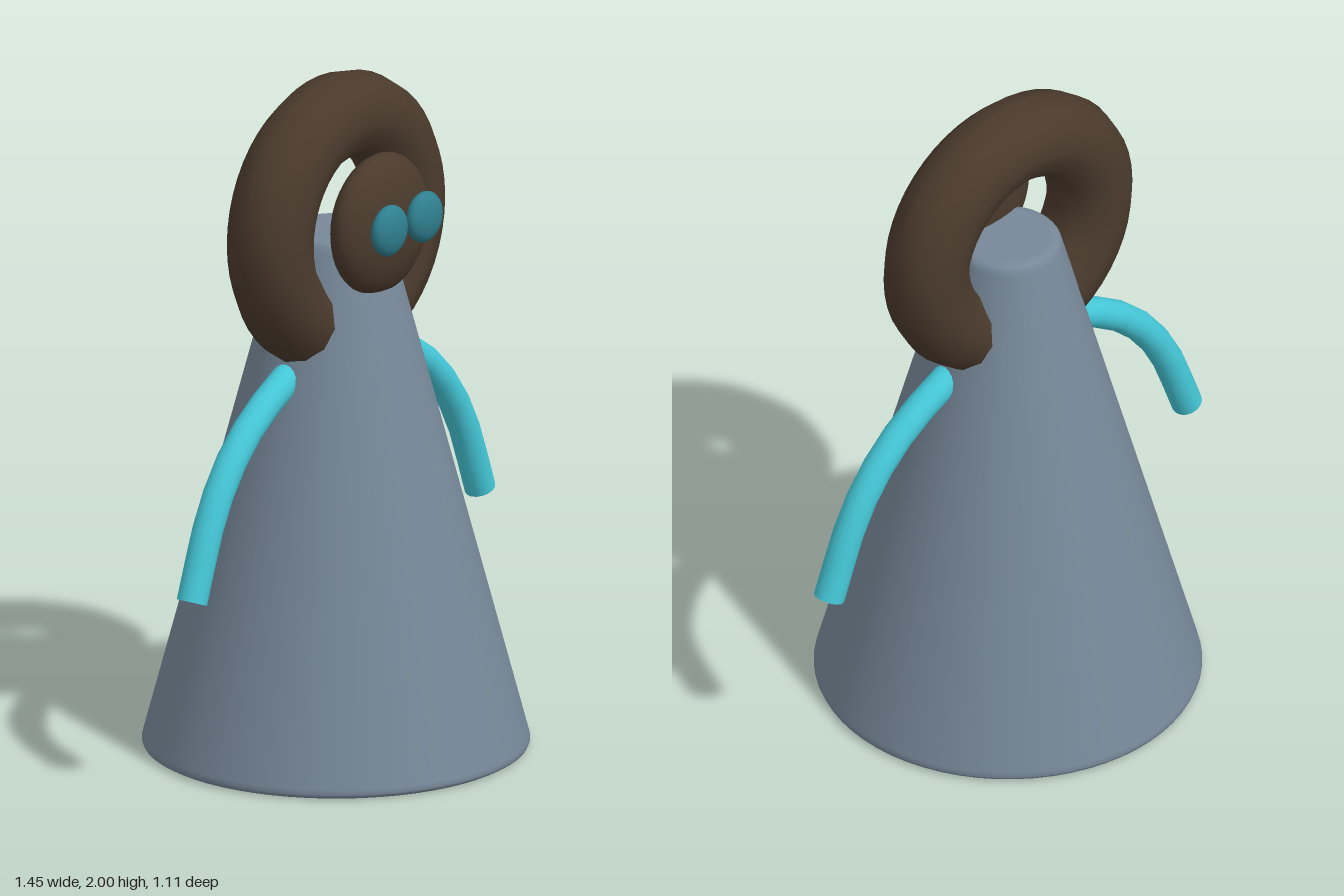
import * as THREE from 'three';

export function createModel() {
  const group = new THREE.Group();
  const material = (color, side = THREE.FrontSide) =>
    new THREE.MeshStandardMaterial({ color, side });
  const slate = material(0x778899);
  const brown = material(0x4a3a2c);
  const teal = material(0x2f7f8f);
  const cyan = material(0x45c8d8, THREE.DoubleSide);

  function add(name, geometry, mat, x = 0, y = 0, z = 0) {
    const mesh = new THREE.Mesh(geometry, mat);
    mesh.name = name;
    mesh.position.set(x, y, z);
    group.add(mesh);
    return mesh;
  }

  // Tapered body with slightly rounded rims
  const profile = [
    [0, 0], [0.535, 0], [0.54, 0.001], [0.551, 0.007], [0.555, 0.016], [0.552, 0.03],
    [0.157, 1.51], [0.153, 1.525], [0.145, 1.537], [0.13, 1.543], [0.12, 1.543], [0, 1.543],
  ].map(([r, y]) => new THREE.Vector2(r, y));
  add('body', new THREE.LatheGeometry(profile, 64), slate);

  // Thick ring of hair around the head
  add('hairRing', new THREE.TorusGeometry(0.3125, 0.125, 12, 48), brown, 0, 1.5625, 0);

  // Flattened head in front of the ring
  add('head', new THREE.SphereGeometry(1, 32, 20), brown, 0, 1.583, 0.155)
    .scale.set(0.204, 0.207, 0.087);

  for (const side of [1, -1]) {
    const label = side > 0 ? 'left' : 'right';

    // Flattened eye
    add(label + 'Eye', new THREE.SphereGeometry(1, 24, 16), teal, side * 0.083, 1.6, 0.253)
      .scale.set(0.074, 0.075, 0.036);

    // Open-ended drooping arm
    const path = new THREE.CatmullRomCurve3([
      [0.14, 1.18], [0.25, 1.14], [0.405, 1.05], [0.51, 0.95], [0.595, 0.82], [0.685, 0.59],
    ].map(([x, y]) => new THREE.Vector3(side * x, y, 0)));
    add(label + 'Arm', new THREE.TubeGeometry(path, 8, 0.045, 16), cyan);
  }

  return group;
}
